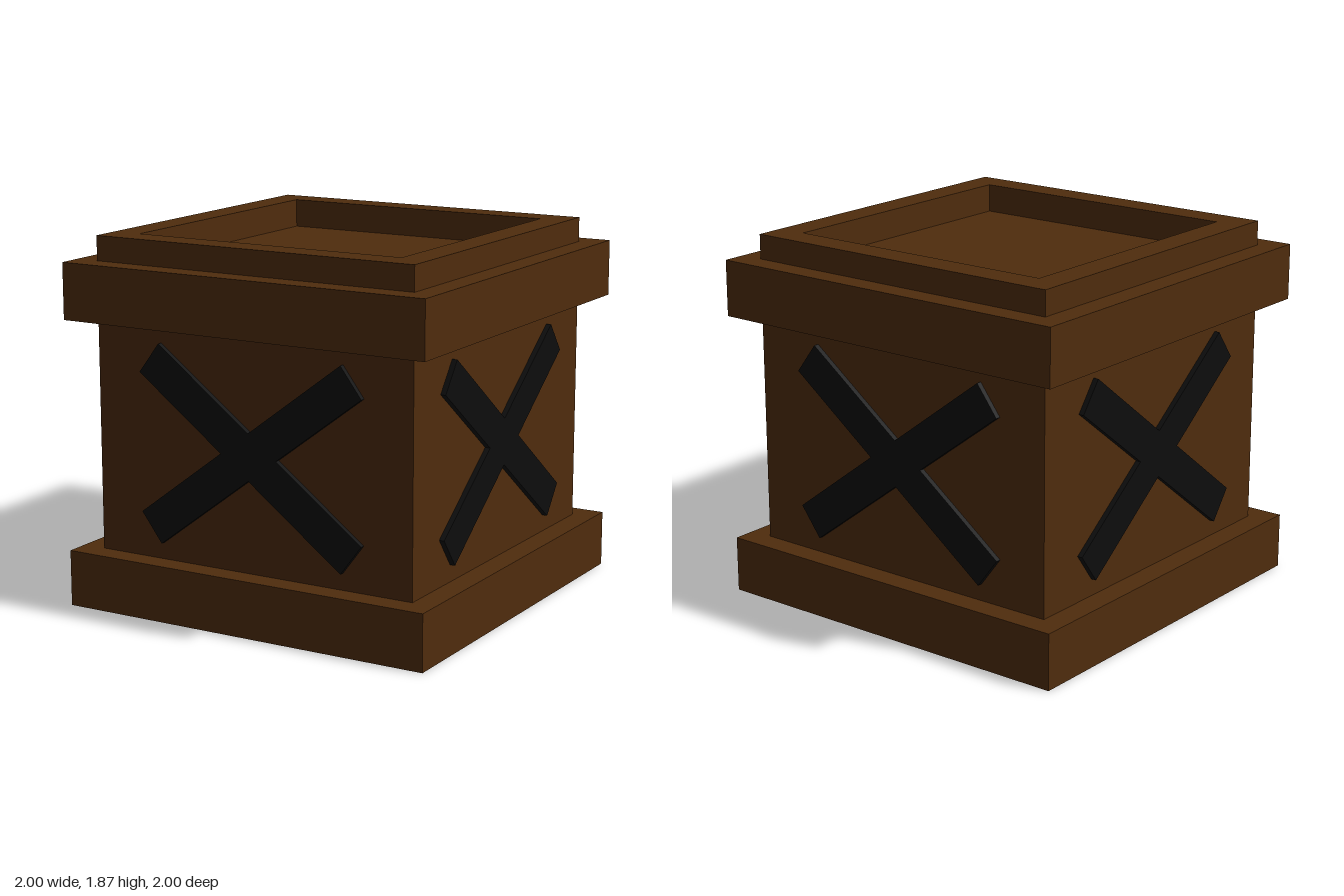
import * as THREE from 'three';

const wood = new THREE.MeshStandardMaterial({ color: 0x4f2c0d });
wood.name = 'wood';
const darkWood = new THREE.MeshStandardMaterial({ color: 0x4a280d });
darkWood.name = 'darkWood';
const iron = new THREE.MeshStandardMaterial({ color: 0x0d0d0d });
iron.name = 'blackIron';

function addBox(parent, name, w, h, d, y, material) {
  const mesh = new THREE.Mesh(new THREE.BoxGeometry(w, h, d), material);
  mesh.name = name;
  mesh.position.y = y;
  parent.add(mesh);
  return mesh;
}

// Square frame lying flat, given half sizes and bottom and top heights
function addFrame(parent, name, outer, inner, y0, y1) {
  const square = (Type, r) => new Type([
    new THREE.Vector2(-r, -r), new THREE.Vector2(r, -r),
    new THREE.Vector2(r, r), new THREE.Vector2(-r, r),
  ]);
  const shape = square(THREE.Shape, outer);
  shape.holes.push(square(THREE.Path, inner));
  const geometry = new THREE.ExtrudeGeometry(shape, { depth: y1 - y0, bevelEnabled: false });
  geometry.rotateX(-Math.PI / 2);
  const mesh = new THREE.Mesh(geometry, wood);
  mesh.name = name;
  mesh.position.y = y0;
  parent.add(mesh);
}

export function createModel() {
  const crate = new THREE.Group();
  crate.name = 'crate';

  // Base plinth and body; the body's top is the recessed floor of the lid
  addBox(crate, 'base', 2, 0.285, 2, 0.1425, wood);
  addBox(crate, 'body', 1.76, 1.435, 1.76, 1.0025, [wood, wood, wood, wood, darkWood, wood]);

  // Wide band around the top and the raised rim
  addFrame(crate, 'topBand', 1, 0.88, 1.455, 1.74);
  addFrame(crate, 'topRim', 0.88, 0.73, 1.72, 1.865);

  // Crossed straps on all four sides
  for (let i = 0; i < 4; i++) {
    const side = new THREE.Group();
    side.name = 'crossStraps';
    side.rotation.y = i * Math.PI / 2;
    for (const s of [-1, 1]) {
      const strap = addBox(side, 'strap', 1.414, 0.187, 0.05, 0.87, iron);
      strap.position.z = 0.882;
      strap.rotation.z = s * 0.645;
    }
    crate.add(side);
  }
  return crate;
}
